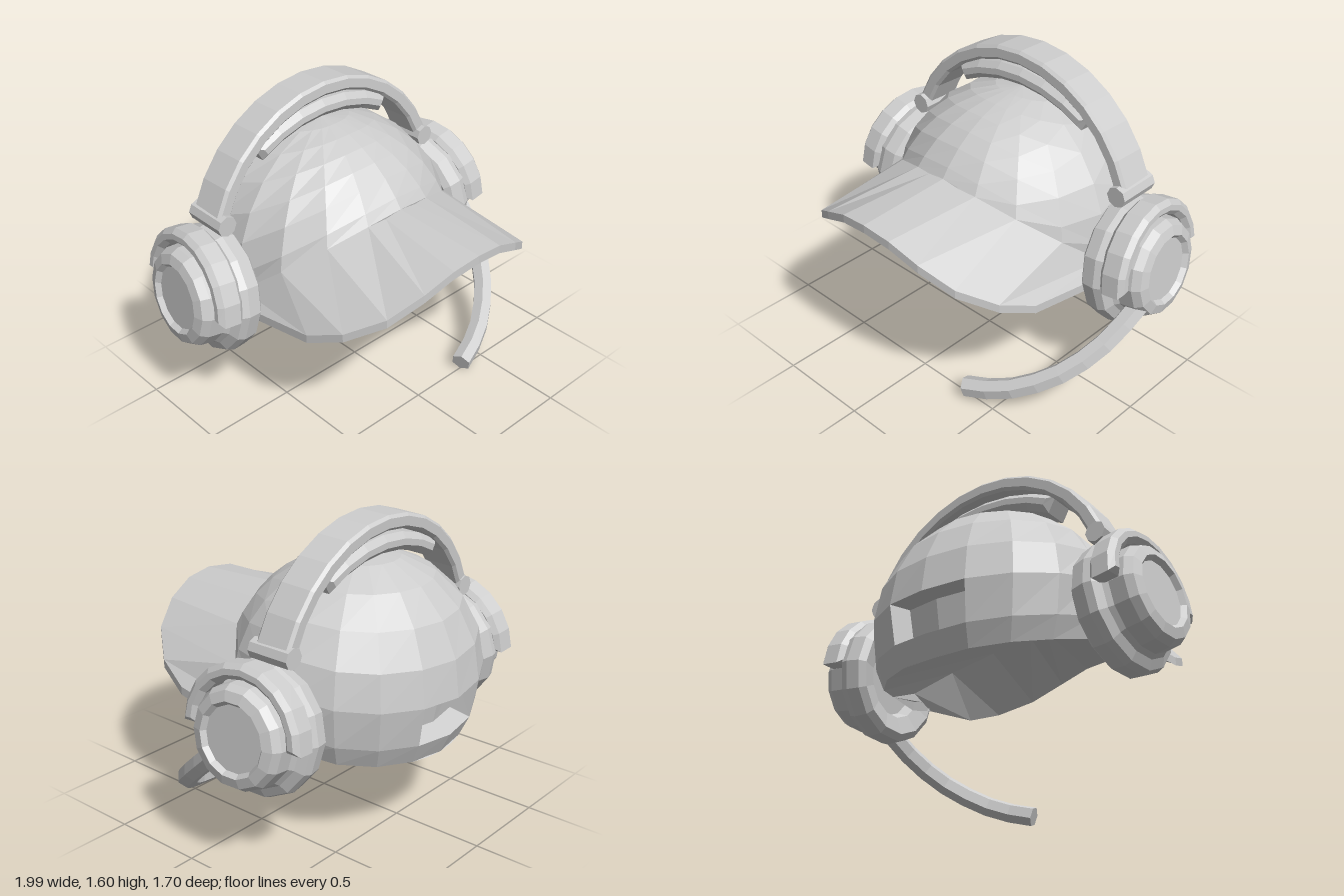
import * as THREE from 'three';

const grey = new THREE.MeshStandardMaterial({ color: 0xcccccc, side: THREE.DoubleSide });
grey.name = 'light grey';

// Faceted mesh from any geometry
function part(name, geometry, parent) {
  const g = geometry.index ? geometry.toNonIndexed() : geometry;
  g.computeVertexNormals();
  const mesh = new THREE.Mesh(g, grey);
  mesh.name = name;
  parent.add(mesh);
  return mesh;
}

// Geometry from four-cornered faces, leaving out collapsed triangles
function fromQuads(quads) {
  const pos = [];
  for (const [a, b, c, d] of quads) {
    for (const [p, q, r] of [[a, b, c], [a, c, d]]) {
      const area = q.clone().sub(p).cross(r.clone().sub(p)).length();
      if (area > 1e-7) for (const v of [p, q, r]) pos.push(v.x, v.y, v.z);
    }
  }
  const g = new THREE.BufferGeometry();
  g.setAttribute('position', new THREE.Float32BufferAttribute(pos, 3));
  return g;
}

// Bevelled arc-shaped bar, centred on its own depth
function arcBar(rIn, rOut, a0, a1, depth, segs, bevel) {
  const pts = [];
  for (let k = 0; k <= segs; k++) {
    const a = a0 + (a1 - a0) * k / segs;
    pts.push(new THREE.Vector2(Math.cos(a) * rOut, Math.sin(a) * rOut));
  }
  for (let k = segs; k >= 0; k--) {
    const a = a0 + (a1 - a0) * k / segs;
    pts.push(new THREE.Vector2(Math.cos(a) * rIn, Math.sin(a) * rIn));
  }
  const g = new THREE.ExtrudeGeometry(new THREE.Shape(pts), {
    depth: depth - 2 * bevel, bevelEnabled: true, bevelThickness: bevel,
    bevelSize: bevel, bevelOffset: -bevel, bevelSegments: 1,
  });
  return g.translate(0, 0, bevel - depth / 2);
}

// Rim height of the cap for every 20 degrees, front to back
const rimY = [1.1, 1.075, 1.0, 0.87, 0.69, 0.543, 0.5, 0.475, 0.46, 0.45];

// Point on the crown: step counts 20 degrees from the front, t runs from rim to apex
function capPoint(step, t, inset = 0) {
  const s = Math.abs(step), k = Math.min(Math.floor(s), 8);
  const rim = THREE.MathUtils.lerp(rimY[k], rimY[k + 1], s - k);
  const phi = step * Math.PI / 9;
  const low = Math.asin((rim - 0.78) / 0.62);
  const el = low + (Math.PI / 2 - low) * t;
  const rz = Math.cos(phi) > 0 ? 0.68 : 0.6;
  return new THREE.Vector3(
    (0.67 - inset) * Math.cos(el) * Math.sin(phi),
    0.78 + (0.62 - inset) * Math.sin(el),
    -0.25 + (rz - inset) * Math.cos(el) * Math.cos(phi));
}

function addCap(root) {
  const cap = new THREE.Group();
  cap.name = 'cap';
  root.add(cap);

  // Crown, with a sunken strap opening at the back
  const rows = [0, 0.092, 0.254, 0.4, 0.55, 0.7, 0.85, 1];
  const crown = [], opening = [];
  const cell = (i, j, inset) => [[i, j], [i + 1, j], [i + 1, j + 1], [i, j + 1]]
    .map(([u, v]) => capPoint(u <= 9 ? u : u - 18, rows[v], inset));
  for (let i = 0; i < 18; i++) {
    for (let j = 0; j < rows.length - 1; j++) {
      const o = cell(i, j, 0);
      if (j !== 1 || (i !== 8 && i !== 9)) { crown.push(o); continue; }
      const n = cell(i, j, 0.11);
      const outerSide = i === 8 ? 3 : 1;
      opening.push(n);
      for (const k of [0, 2, outerSide]) {
        const m = (k + 1) % 4;
        opening.push([o[k], o[m], n[m], n[k]]);
      }
    }
  }
  part('crown', fromQuads(crown), cap);
  part('strapOpening', fromQuads(opening), cap);

  // Half outline of the brim: crown step, x, y, z
  const edge = [[0, 0, 1.08, 0.85], [0.5, 0.16, 1.06, 0.84], [1, 0.32, 0.99, 0.81],
    [2, 0.48, 0.885, 0.73], [3, 0.61, 0.78, 0.57], [4, 0.67, 0.7, 0.38],
    [4, 0.69, 0.655, 0.05], [5, 0.67, 0.6, -0.12]];
  const lower = p => p.clone().add(new THREE.Vector3(0, -0.045, 0));
  const columns = [];
  const half = edge.length - 1;
  for (let c = -half; c <= half; c++) {
    const sign = c < 0 ? -1 : 1;
    const [step, x, y, z] = edge[Math.abs(c)];
    const out = new THREE.Vector3(sign * x, y, z);
    const seam = capPoint(sign * step, 0);
    const seamLow = step === 5 ? seam : lower(seam);
    columns.push({ out, seam, outLow: lower(out), seamLow,
      back: capPoint(sign * Math.max(9 - step, 5), 0) });
  }

  // Arched brim and the closed underside running from it to the back rim
  const brim = [], underside = [];
  for (let i = 0; i < columns.length - 1; i++) {
    const a = columns[i], b = columns[i + 1];
    brim.push([a.out, b.out, b.seam, a.seam], [a.outLow, b.outLow, b.out, a.out],
      [a.seamLow, b.seamLow, b.outLow, a.outLow]);
    underside.push([a.back, b.back, b.seamLow, a.seamLow]);
  }
  part('brim', fromQuads(brim), cap);
  part('underside', fromQuads(underside), cap);
}

function addEarpiece(root, side) {
  const ear = new THREE.Group();
  ear.name = side > 0 ? 'leftEarpiece' : 'rightEarpiece';
  ear.position.set(0, 0.7, -0.255);
  ear.rotation.y = side > 0 ? 0 : Math.PI;
  root.add(ear);

  const cup = new THREE.Group();
  cup.name = 'cup';
  cup.position.x = 0.8;
  cup.rotation.set(0, side * 0.07, 0.1);
  ear.add(cup);

  // Cushion, housing and recessed outer disc in one turned profile
  const profile = [[0, -0.06], [0.18, -0.06], [0.2, -0.12], [0.29, -0.145], [0.325, -0.12],
    [0.337, -0.05], [0.325, -0.01], [0.28, 0.015], [0.262, 0.04], [0.258, 0.12],
    [0.235, 0.16], [0.185, 0.175], [0.165, 0.15], [0, 0.15]];
  const turned = new THREE.LatheGeometry(profile.map(p => new THREE.Vector2(...p)), 14);
  part('earCup', turned.rotateZ(-Math.PI / 2), cup);

  // Half-ring bracket over the cup
  const bracket = arcBar(0.267, 0.347, -0.03, Math.PI + 0.03, 0.14, 10, 0.025);
  part('bracket', bracket.rotateY(Math.PI / 2).translate(0.055, 0.005, 0), cup);

  // Hinge where the headband meets the bracket
  const hinge = new THREE.CylinderGeometry(0.055, 0.055, 0.24, 8).rotateX(Math.PI / 2);
  part('hinge', hinge, ear).position.set(0.69, 0.365, -side * 0.033);
}

export function createModel() {
  const root = new THREE.Group();
  root.name = 'capWithHeadset';
  addCap(root);

  // Headband and the pad beneath it, leaning slightly back
  const half = 1.21, padHalf = 0.52, up = Math.PI / 2;
  const band = new THREE.Group();
  band.name = 'headbandGroup';
  band.position.set(0, 0.824, -0.287);
  band.rotation.x = -0.035;
  root.add(band);
  part('headband', arcBar(0.695, 0.773, up - half, up + half, 0.205, 12, 0.015), band);
  part('headbandPad', arcBar(0.8, 0.893, up - padHalf, up + padHalf, 0.19, 6, 0.03), band)
    .position.y = -0.224;

  for (const side of [1, -1]) addEarpiece(root, side);

  // Microphone boom
  const boomPath = new THREE.CatmullRomCurve3([
    [0.93, 0.58, -0.11], [0.88, 0.42, 0.075], [0.78, 0.28, 0.243],
    [0.65, 0.18, 0.363], [0.5, 0.105, 0.452], [0.32, 0.055, 0.512],
  ].map(p => new THREE.Vector3(...p)));
  const section = new THREE.Shape(Array.from({ length: 6 }, (_, k) =>
    new THREE.Vector2(Math.cos(k * Math.PI / 3) * 0.055, Math.sin(k * Math.PI / 3) * 0.055)));
  part('microphoneBoom', new THREE.ExtrudeGeometry(section, { steps: 8, extrudePath: boomPath }), root);

  return root;
}
